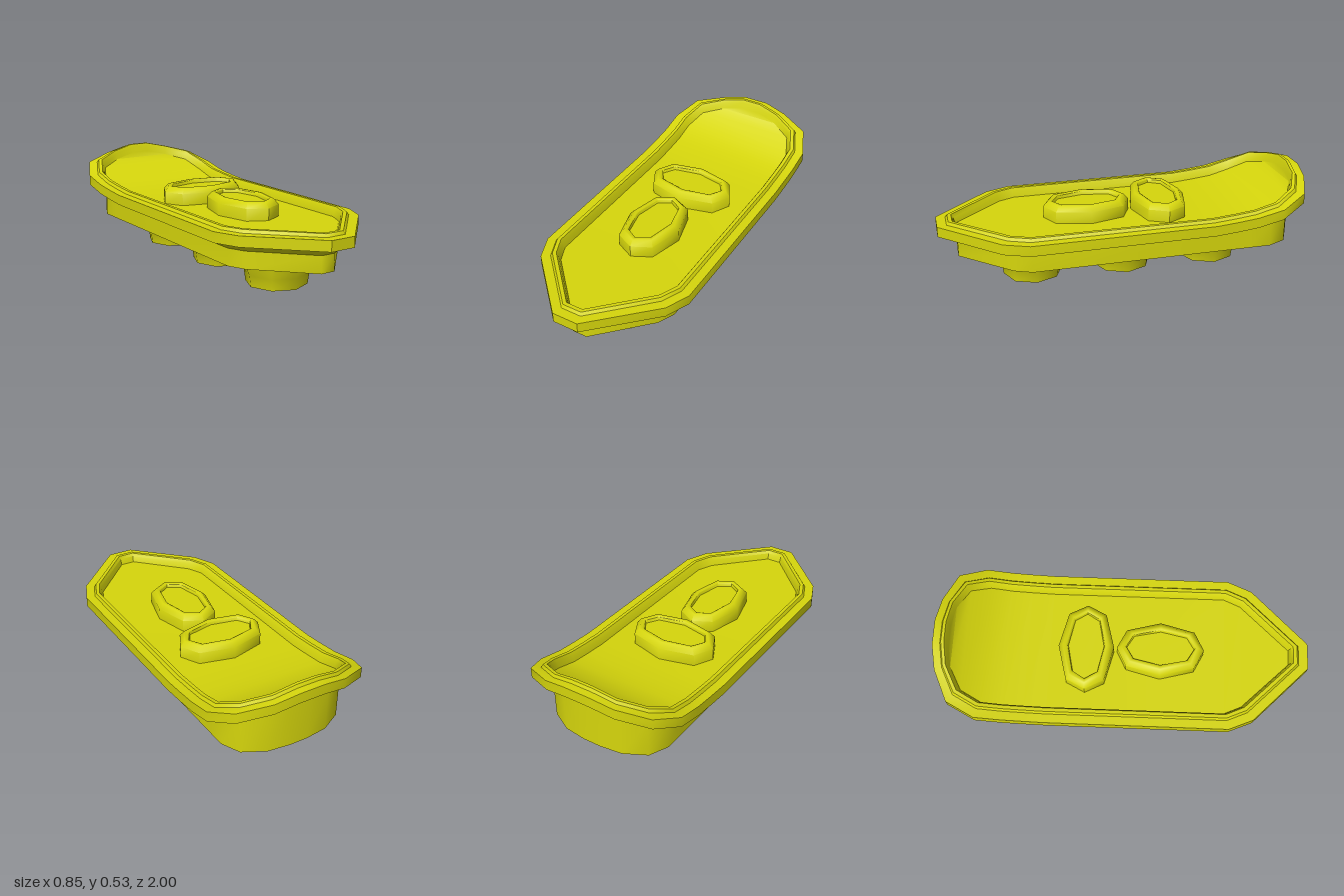
import * as THREE from 'three';
import { toCreasedNormals } from 'three/addons/utils/BufferGeometryUtils.js';

const material = new THREE.MeshStandardMaterial({ color: 0xd6d60c });

// Skins a stack of closed rings; caps join the left and right halves in strips.
function loft(name, rings, capStart, capEnd, crease = 0.9) {
  const n = rings[0].length;
  const pos = [];
  const quad = (a, b, c, d) => pos.push(...a, ...b, ...c, ...a, ...c, ...d);
  for (let i = 0; i < rings.length - 1; i++) {
    for (let j = 0; j < n; j++) {
      const k = (j + 1) % n;
      quad(rings[i][j], rings[i][k], rings[i + 1][k], rings[i + 1][j]);
    }
  }
  for (let j = 0; j < n / 2 - 1; j++) {
    const corners = (r) => [r[j], r[j + 1], r[n - 2 - j], r[n - 1 - j]];
    if (capStart) quad(...corners(rings[0]).reverse());
    if (capEnd) quad(...corners(rings[rings.length - 1]));
  }
  const geo = new THREE.BufferGeometry();
  geo.setAttribute('position', new THREE.Float32BufferAttribute(pos, 3));
  const mesh = new THREE.Mesh(toCreasedNormals(geo, crease), material);
  mesh.name = name;
  return mesh;
}

// Half outlines from the front tip to the tail, sharing the same stations.
const OUTER = [[0.07, 1], [0.37, 0.7], [0.425, 0.57], [0.425, -0.4], [0.425, -0.52],
  [0.425, -0.63], [0.425, -0.77], [0.36, -0.91], [0.2, -0.98], [0.07, -1]];
const INNER = [[0.04, 0.9], [0.29, 0.64], [0.33, 0.55], [0.33, -0.4], [0.33, -0.52],
  [0.33, -0.63], [0.33, -0.745], [0.285, -0.845], [0.17, -0.905], [0.05, -0.92]];
const LIFT = [0, 0, 0, 0, 0.01, 0.022, 0.053, 0.107, 0.142, 0.17];

// Ring between INNER (t = 0) and OUTER (t = 1) at height y plus the tail lift.
function hullRing(t, y, lifted = true) {
  const half = INNER.map(([x, z], i) => [
    x + (OUTER[i][0] - x) * t,
    y + (lifted ? LIFT[i] : 0),
    z + (OUTER[i][1] - z) * t,
  ]);
  return [...half, ...half.map(([x, h, z]) => [-x, h, z]).reverse()];
}

// Eight-sided ring; diagonal factors give it a round or a fuller oval shape.
function octagon(rx, rz, y, cz, dx = Math.SQRT1_2, dz = Math.SQRT1_2) {
  const unit = [[0, 1], [dx, dz], [1, 0], [dx, -dz], [0, -1], [-dx, -dz], [-1, 0], [-dx, dz]];
  return unit.map(([x, z]) => [x * rx, y, cz + z * rz]);
}

// Raised oval with a sunken top, standing on the floor of the plate.
function oval(name, rx, rz, cz) {
  const [dx, dz] = rx > rz ? [0.78, 0.68] : [0.68, 0.78];
  const steps = [[0, 0.3], [0, 0.37], [0.025, 0.398], [0.04, 0.4], [0.05, 0.395], [0.054, 0.378]];
  return loft(name, steps.map(([inset, y]) =>
    octagon(rx - inset, rz - inset, y, cz, dx, dz)), false, true);
}

export function createModel() {
  const group = new THREE.Group();
  group.name = 'model';

  // Lower body with a hollow underside
  group.add(loft('base', [
    hullRing(-0.4, 0.2, false),
    hullRing(-0.4, 0.15, false),
    hullRing(0, 0.15, false),
    hullRing(0, 0.24),
  ], true, false));

  // Upturned plate with a raised rim around the sunken floor
  group.add(loft('plate', [
    hullRing(0, 0.24),
    hullRing(0.5, 0.285),
    hullRing(1, 0.285),
    hullRing(1, 0.34),
    hullRing(0.5, 0.34),
    hullRing(0.4, 0.356),
    hullRing(0.2, 0.356),
    hullRing(0.1, 0.34),
    hullRing(0, 0.306),
  ], false, true, 0.75));

  group.add(oval('crossOval', 0.24, 0.15, -0.2));
  group.add(oval('longOval', 0.15, 0.235, 0.2));

  // Hollow flared pegs under the base
  const pegProfile = [[0.1, 0.09], [0.108, 0.02], [0.125, 0], [0.16, 0], [0.168, 0.06],
    [0.2, 0.13], [0.2, 0.2]];
  for (const [name, z] of [['frontPeg', 0.505], ['middlePeg', 0.005], ['backPeg', -0.495]]) {
    group.add(loft(name, pegProfile.map(([r, y]) => octagon(r, r, y, z)), true, false));
  }
  return group;
}
